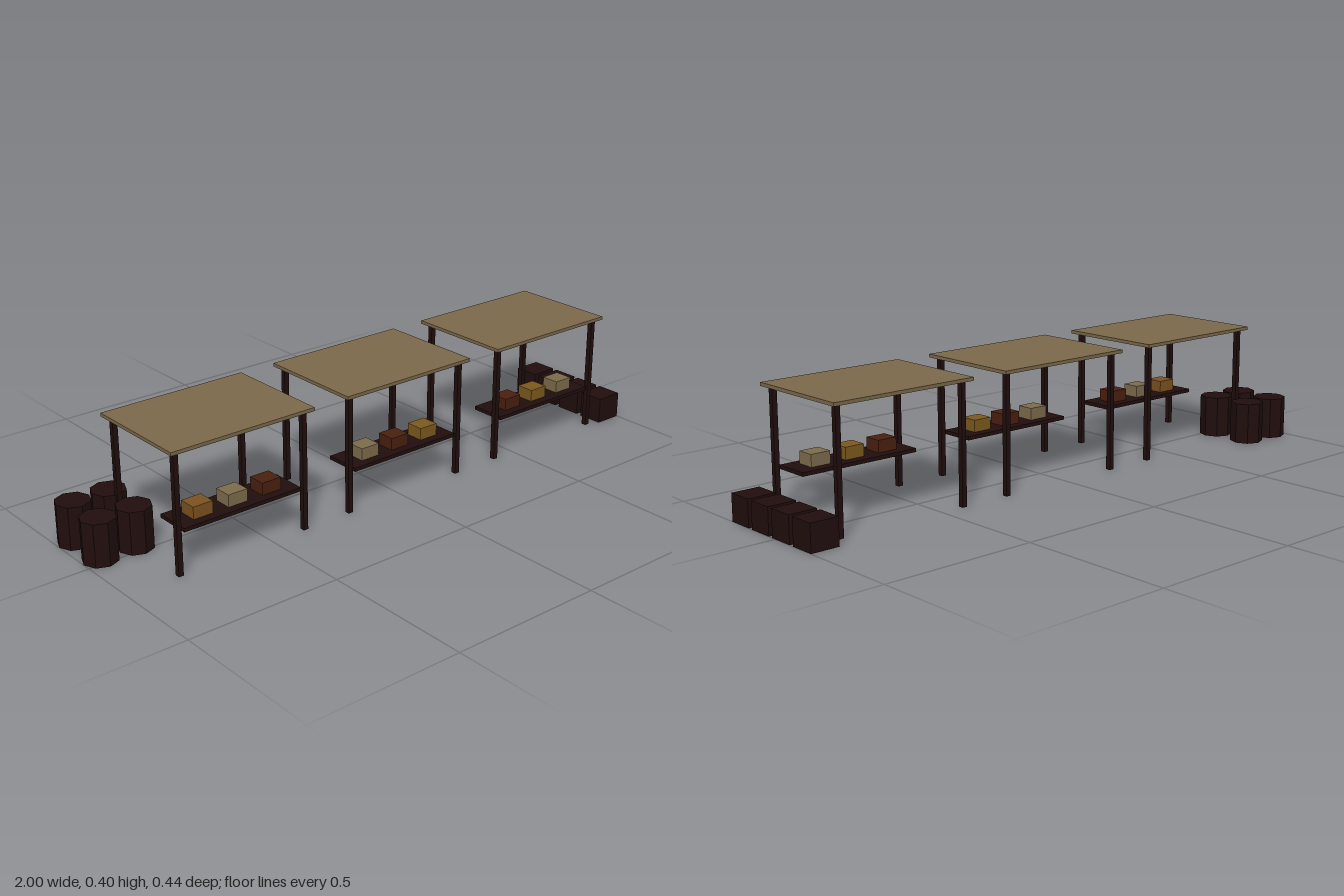
import * as THREE from 'three';

const mat = (name, color, extra = {}) => {
  const m = new THREE.MeshStandardMaterial({ color, ...extra });
  m.name = name;
  return m;
};

export function createModel() {
  const model = new THREE.Group();
  model.name = 'marketStalls';

  const wood = mat('dark wood', 0x210e0e, { flatShading: true });
  const canvas = mat('tan canvas', 0x7b694a);
  const tan = mat('tan goods', 0x7d6c4c);
  const red = mat('red brown goods', 0x4a2010);
  const gold = mat('gold goods', 0x7c5a1e);
  const amber = mat('amber goods', 0x7c5220);

  const box = (parent, name, material, w, h, d, x, y, z) => {
    const mesh = new THREE.Mesh(new THREE.BoxGeometry(w, h, d), material);
    mesh.name = name;
    mesh.position.set(x, y, z);
    parent.add(mesh);
  };

  // Three stalls: roof, four posts, counter and goods
  const goods = [[amber, tan, red], [tan, red, gold], [red, gold, tan]];
  goods.forEach((row, i) => {
    const stall = new THREE.Group();
    stall.name = 'stall';
    stall.position.x = -0.6 + i * 0.62;
    model.add(stall);

    box(stall, 'roof', canvas, 0.496, 0.011, 0.363, 0, 0.3895, 0.041);
    for (const x of [-0.223, 0.223])
      for (const z of [0.197, -0.114])
        box(stall, 'post', wood, 0.0165, 0.38, 0.0165, x, 0.19, z);
    box(stall, 'counter', wood, 0.412, 0.012, 0.12, 0, 0.139, 0.145);
    row.forEach((material, j) =>
      box(stall, 'goods', material, 0.067, 0.039, 0.06, (j - 1) * 0.121, 0.1645, 0.146));
  });

  // Barrels behind the first stall
  const barrelGeo = new THREE.CylinderGeometry(0.0555, 0.0555, 0.138, 8);
  for (const x of [-0.945, -0.825])
    for (const z of [-0.167, -0.028]) {
      const barrel = new THREE.Mesh(barrelGeo, wood);
      barrel.name = 'barrel';
      barrel.position.set(x, 0.069, z);
      model.add(barrel);
    }

  // Row of crates beside the last stall
  for (let i = 0; i < 4; i++)
    box(model, 'crate', wood, 0.094, 0.087, 0.086, 0.953, 0.0435, 0.179 - i * 0.1033);

  return model;
}
